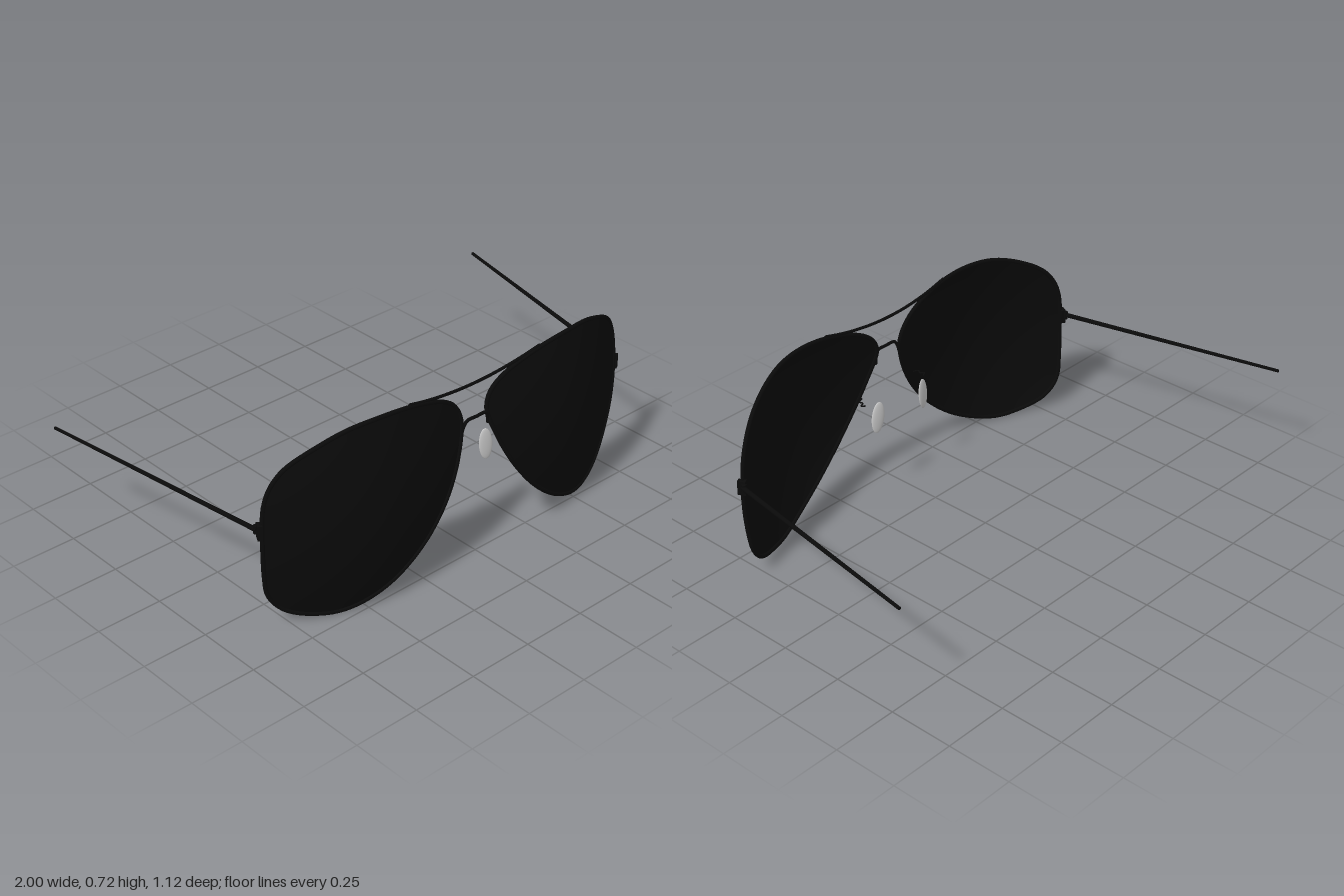
import * as THREE from 'three';

const black = new THREE.MeshStandardMaterial({ color: 0x0a0a0a, side: THREE.DoubleSide });
const grey = new THREE.MeshStandardMaterial({ color: 0xcccccc });
const V = (x, y, z) => new THREE.Vector3(x, y, z);

// Teardrop lens outline on the +x side, and its middle
const OUTLINE = [
  [0.051, 0.56], [0.073, 0.615], [0.126, 0.658], [0.206, 0.69], [0.313, 0.714], [0.436, 0.722],
  [0.554, 0.711], [0.67, 0.668], [0.757, 0.613], [0.803, 0.55], [0.826, 0.48], [0.834, 0.364],
  [0.828, 0.203], [0.81, 0.112], [0.752, 0.042], [0.618, 0.002], [0.527, 0.01], [0.393, 0.068],
  [0.26, 0.174], [0.153, 0.308], [0.083, 0.444],
];
const CX = 0.45, CY = 0.37, RIM = 0.008;

// Depth of the wrapped lens surface
const lensZ = (x, y) =>
  0.553 - (x < 0.37 ? 0.5 : 0.88) * (x - 0.37) ** 2 - 0.45 * (y - 0.35) ** 2;

// Outline curve pulled in so that the rim tube stays inside the silhouette
const edge = new THREE.CatmullRomCurve3(
  OUTLINE.map(([x, y]) => V(CX + (x - CX) * 0.979, CY + (y - CY) * 0.979, 0)), true);

function mesh(name, geometry, material = black) {
  const m = new THREE.Mesh(geometry, material);
  m.name = name;
  return m;
}

function wire(name, points, radius, closed = false, segments = 32) {
  const curve = new THREE.CatmullRomCurve3(points, closed);
  return mesh(name, new THREE.TubeGeometry(curve, segments, radius, 8, closed));
}

// Tapered rod between two points
function rod(name, a, b, ra, rb) {
  const d = b.clone().sub(a);
  const m = mesh(name, new THREE.CylinderGeometry(rb, ra, d.length(), 10));
  m.position.copy(a).addScaledVector(d, 0.5);
  m.quaternion.setFromUnitVectors(V(0, 1, 0), d.normalize());
  return m;
}

// Curved lens made of concentric outlines
function lensGeometry(s) {
  const rings = 12, n = 84, pos = [], index = [];
  const rim = edge.getSpacedPoints(n);
  for (let r = 0; r <= rings; r++) {
    for (let i = 0; i < n; i++) {
      const x = CX + (rim[i].x - CX) * r / rings, y = CY + (rim[i].y - CY) * r / rings;
      pos.push(s * x, y, lensZ(x, y));
    }
  }
  for (let r = 0; r < rings; r++) {
    for (let i = 0; i < n; i++) {
      const j = (i + 1) % n, a = r * n + i, b = r * n + j, c = a + n, d = b + n;
      // the outline runs clockwise on the +x side
      if (s > 0) index.push(a, b, d, a, d, c);
      else index.push(a, d, b, a, c, d);
    }
  }
  const g = new THREE.BufferGeometry();
  g.setAttribute('position', new THREE.Float32BufferAttribute(pos, 3));
  g.setIndex(index);
  g.computeVertexNormals();
  return g;
}

function side(s) {
  const g = new THREE.Group();
  g.name = s > 0 ? 'leftSide' : 'rightSide';

  // Lens and wire rim
  g.add(mesh('lens', lensGeometry(s)));
  const rimPoints = edge.getSpacedPoints(60).slice(0, 60)
    .map(p => V(s * p.x, p.y, lensZ(p.x, p.y)));
  g.add(wire('rim', rimPoints, RIM, true, 120));

  // Hinge: end piece and barrel
  const block = mesh('hingeBlock', new THREE.BoxGeometry(0.018, 0.055, 0.03));
  block.position.set(s * 0.832, 0.393, 0.364);
  block.rotation.y = s * 0.5;
  g.add(block);
  const barrel = mesh('hingeBarrel', new THREE.CylinderGeometry(0.009, 0.009, 0.03, 12));
  barrel.position.set(s * 0.836, 0.397, 0.35);
  g.add(barrel);

  // Temple arm
  g.add(rod('temple', V(s * 0.837, 0.397, 0.355), V(s * 0.995, 0.43, -0.55), 0.009, 0.006));

  // Small curled wire behind the rim beside the nose
  g.add(wire('padHook', [
    V(s * 0.135, 0.385, 0.495), V(s * 0.155, 0.383, 0.487), V(s * 0.15, 0.38, 0.475),
    V(s * 0.165, 0.378, 0.467), V(s * 0.152, 0.376, 0.459),
  ], 0.003));

  // Nose pad
  const pad = mesh('nosePad', new THREE.SphereGeometry(1, 24, 16), grey);
  pad.scale.set(0.027, 0.064, 0.007);
  pad.position.set(s * 0.117 + 0.022, 0.342, 0.408);
  pad.rotation.set(0, -s * 0.22, s * 0.1);
  g.add(pad);
  return g;
}

export function createModel() {
  const model = new THREE.Group();
  model.name = 'sunglasses';
  const frame = new THREE.Group();
  frame.name = 'frame';
  frame.add(side(1), side(-1));

  // Upper brow bar, running tangent to both rims
  frame.add(wire('browBar', [-0.3, -0.21, -0.1, 0, 0.1, 0.21, 0.3].map(x =>
    V(x, 0.674 + 0.42 * x * x, 0.484 + 0.1 * x * x)), 0.0055));

  // Lower bridge arch
  frame.add(wire('bridge', [
    V(-0.062, 0.5, 0.492), V(-0.055, 0.53, 0.495), V(-0.043, 0.549, 0.498), V(0, 0.551, 0.499),
    V(0.043, 0.549, 0.498), V(0.055, 0.53, 0.495), V(0.062, 0.5, 0.492),
  ], 0.006, false, 48));

  // The glasses rest turned very slightly
  frame.rotation.y = -0.01;
  frame.position.x = -0.006;
  model.add(frame);
  return model;
}
